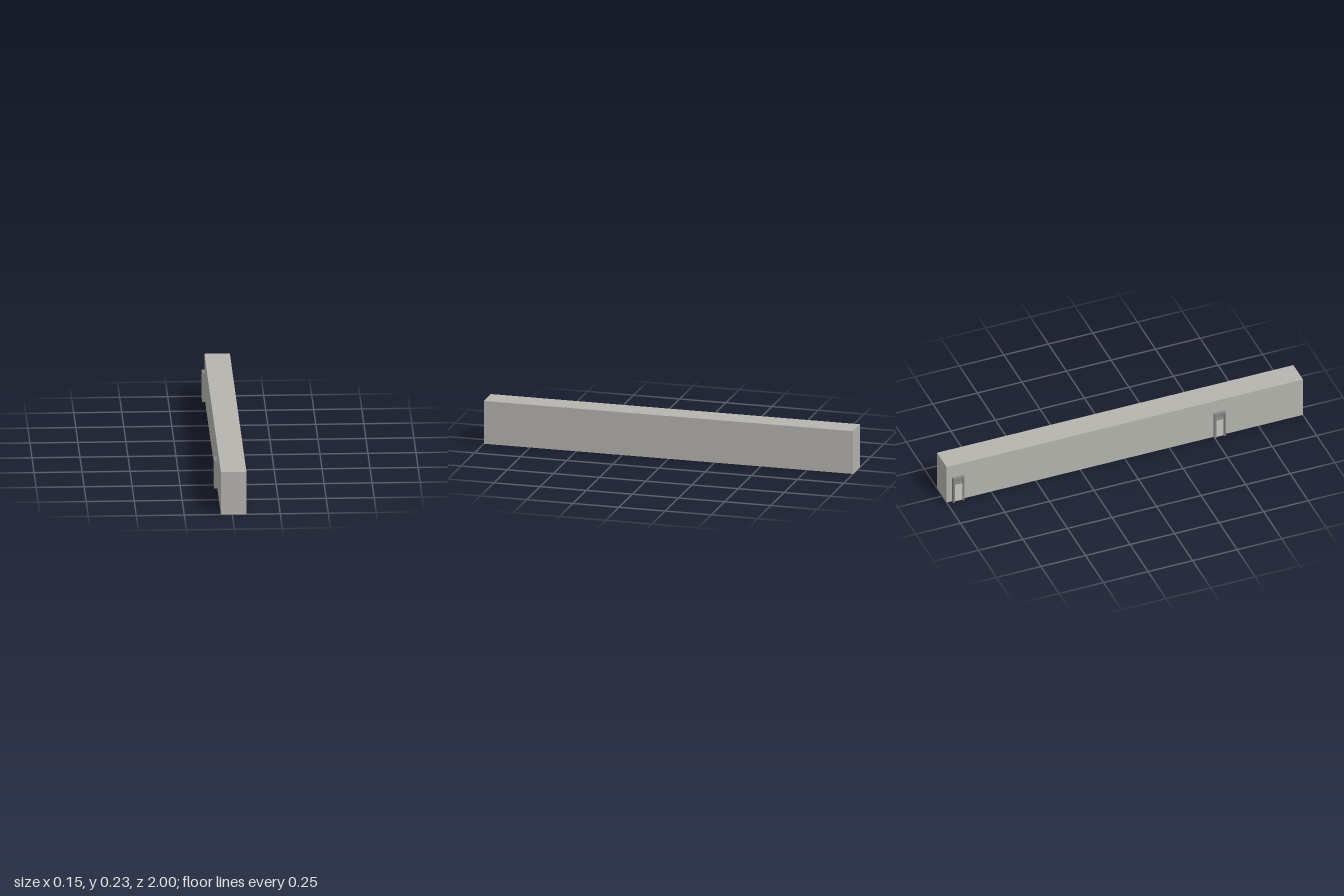
import * as THREE from 'three';

const material = (name, color) => new THREE.MeshStandardMaterial({ name, color });

export function createModel() {
  const wallGrey = material('wallGrey', 0xb5b4ae);
  const frameGrey = material('frameGrey', 0x858581);
  const doorGrey = material('doorGrey', 0xc6c5c0);

  const model = new THREE.Group();
  model.name = 'longBlock';

  // Box given by its min and max corners
  const box = (parent, name, mat, [x0, y0, z0], [x1, y1, z1]) => {
    const mesh = new THREE.Mesh(new THREE.BoxGeometry(x1 - x0, y1 - y0, z1 - z0), mat);
    mesh.position.set((x0 + x1) / 2, (y0 + y1) / 2, (z0 + z1) / 2);
    mesh.name = name;
    parent.add(mesh);
  };

  // Long plain body
  const face = -0.059;
  box(model, 'body', wallGrey, [face, 0, -1], [0.074, 0.232, 1]);

  // Framed doorways with a transom, on the -x side
  const out = -0.075, half = 0.032, jamb = 0.01, top = 0.155;
  for (const z of [-0.937, 0.53]) {
    const doorway = new THREE.Group();
    doorway.name = 'doorway';
    doorway.position.z = z;
    const inner = half - jamb;
    box(doorway, 'backJamb', frameGrey, [out, 0, -half], [face, top, -inner]);
    box(doorway, 'frontJamb', frameGrey, [out, 0, inner], [face, top, half]);
    box(doorway, 'lintel', frameGrey, [out, top - jamb, -inner], [face, top, inner]);
    box(doorway, 'transomBar', frameGrey, [-0.071, 0.112, -inner], [face, 0.119, inner]);
    box(doorway, 'doorLeaf', doorGrey, [-0.066, 0, -inner], [face, 0.112, inner]);
    box(doorway, 'transomPanel', frameGrey, [-0.062, 0.119, -inner], [face, top - jamb, inner]);
    model.add(doorway);
  }
  return model;
}
